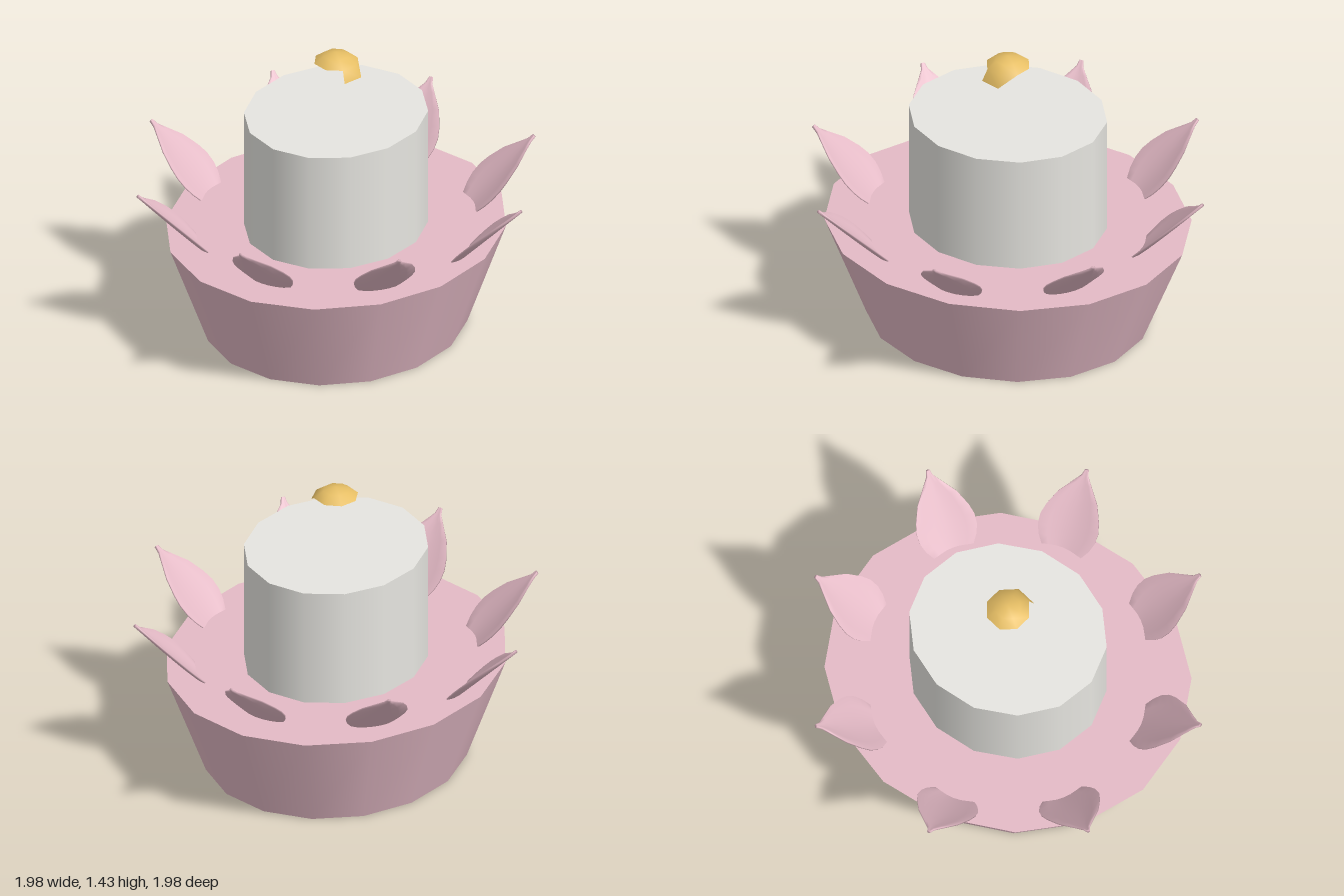
import * as THREE from 'three';

const pink = new THREE.MeshStandardMaterial({ name: 'petalPink', color: 0xe4bac6 });
const wax = new THREE.MeshStandardMaterial({ name: 'candleWax', color: 0xe6e5e0 });
const gold = new THREE.MeshStandardMaterial({ name: 'flameGold', color: 0xe6be64, side: THREE.DoubleSide });

function makeMesh(name, geometry, material) {
  const mesh = new THREE.Mesh(geometry, material);
  mesh.name = name;
  return mesh;
}

function indexed(points, index) {
  const g = new THREE.BufferGeometry();
  g.setAttribute('position', new THREE.Float32BufferAttribute(points, 3));
  g.setIndex(index);
  g.computeVertexNormals();
  return g;
}

// Oval faceted drum standing on y0
function drum(rTop, rBottom, y0, y1, sides, start, zScale) {
  const g = new THREE.CylinderGeometry(rTop, rBottom, y1 - y0, sides, 1, false, start);
  return g.translate(0, (y0 + y1) / 2, 0).scale(1, 1, zScale);
}

// Cupped, leaning petal: closed cross-sections from root to tip
function petalGeometry() {
  const rows = [[0.45, 0.04], [0.5, 0.1], [0.535, 0.128], [0.57, 0.144], [0.61, 0.147],
    [0.65, 0.134], [0.71, 0.1], [0.765, 0.046], [0.795, 0.017], [0.818, 0.009]];
  const cols = 7, ring = cols * 2, thick = 0.014;
  const points = [], index = [];
  for (const [y, w] of rows) {
    const r = 0.69 + (y - 0.515) * 0.967;
    for (let k = 0; k < ring; k++) {
      const upper = k < cols;
      const t = ((upper ? k : ring - 1 - k) / (cols - 1)) * 2 - 1;
      const edge = Math.abs(t) === 1 ? 0.5 : 1;
      const lift = 0.17 * w * t * t + (upper ? 0.5 : -0.5) * thick * edge;
      points.push(t * w, y + lift * 0.707, r - lift * 0.707);
    }
  }
  for (let j = 0; j < rows.length - 1; j++) {
    for (let k = 0; k < ring; k++) {
      const a = j * ring + k, b = j * ring + (k + 1) % ring;
      index.push(a, a + ring, b, b, a + ring, b + ring);
    }
  }
  const last = (rows.length - 1) * ring;
  for (let k = 1; k < ring - 1; k++) index.push(last, last + k + 1, last + k);
  return indexed(points, index);
}

// Open dome with one panel and one corner hanging below the rim
function flameGeometry() {
  const n = 8, points = [0, 1.432, 0], index = [];
  for (const [r, y] of [[0.062, 1.417], [0.107, 1.385], [0.134, 1.328]]) {
    for (let i = 0; i < n; i++) {
      const a = (i / n) * Math.PI * 2;
      points.push(r * Math.cos(a), y, r * Math.sin(a));
    }
  }
  for (let i = 0; i < n; i++) {
    const j = (i + 1) % n;
    const a = 1 + i, b = 1 + j, c = a + n, d = b + n;
    index.push(0, b, a, a, b, c, b, d, c);
  }
  const rim = 1 + n, low = 1 + 2 * n;
  index.push(rim, rim + 1, low, rim + 1, low + 1, low); // hanging panel
  index.push(rim + n - 1, rim, low); // hanging corner
  return indexed(points, index);
}

export function createModel() {
  const model = new THREE.Group();
  model.name = 'flowerCandle';

  model.add(makeMesh('bowl', drum(0.79, 0.61, 0, 0.515, 16, 0, 0.88 / 0.79), pink));
  model.add(makeMesh('candle', drum(0.425, 0.425, 0.5, 1.11, 14, Math.PI / 2, 0.477 / 0.425), wax));
  model.add(makeMesh('flame', flameGeometry(), gold));

  // Eight petals around the bowl
  const petals = new THREE.Group();
  petals.name = 'petals';
  const geometry = petalGeometry();
  for (let i = 0; i < 8; i++) {
    const petal = makeMesh('petal', geometry, pink);
    petal.rotation.y = (i * Math.PI) / 4;
    petals.add(petal);
  }
  model.add(petals);
  return model;
}
